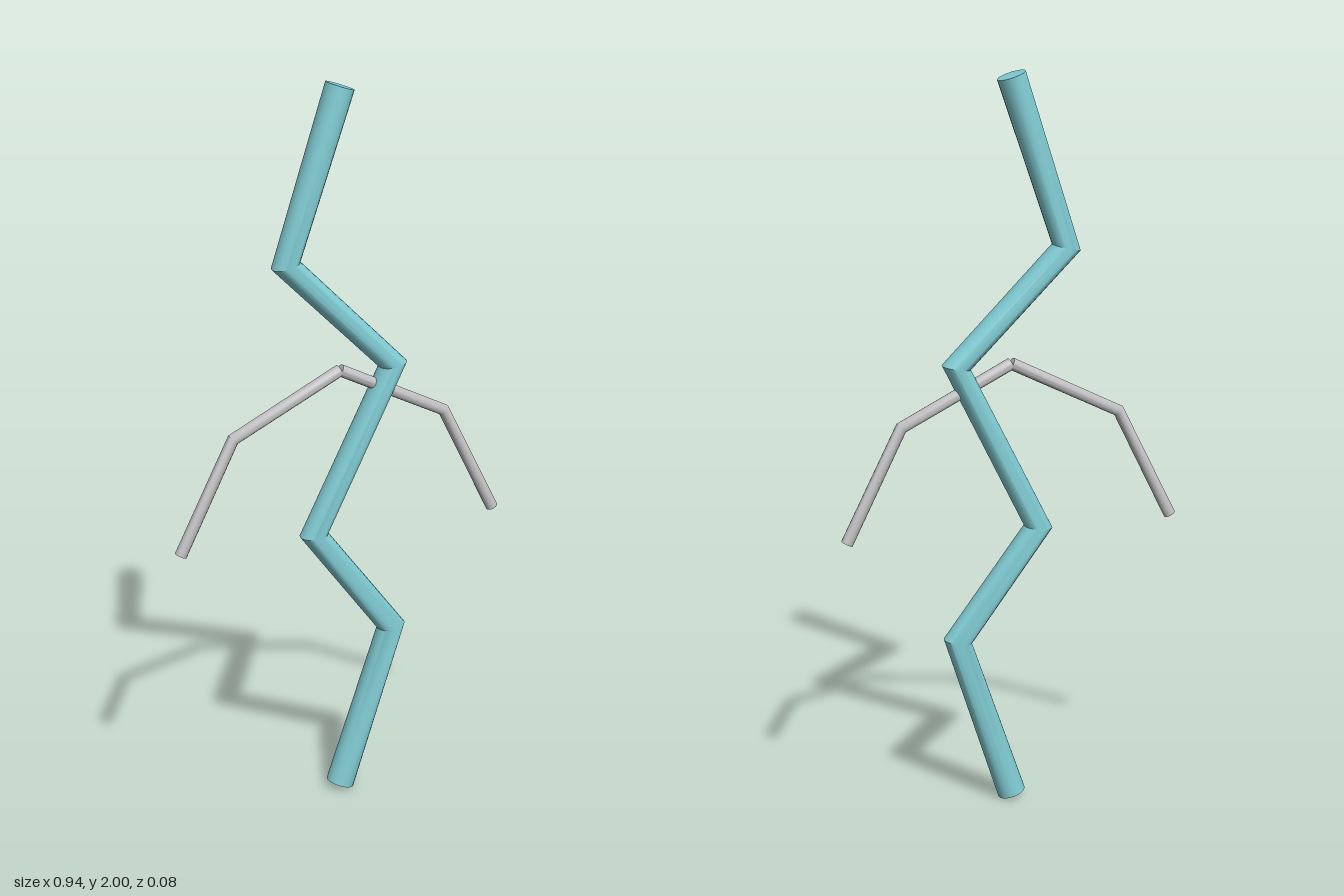
import * as THREE from 'three';
import { toCreasedNormals } from 'three/addons/utils/BufferGeometryUtils.js';

const SIDES = 16;

// Round rod along a bent path in the XY plane, with a ring on the bisector of each bend and flat end caps
function bentRod(path, radius) {
  const pts = path.map(([x, y]) => new THREE.Vector2(x, y));
  const n = pts.length;
  const dirs = pts.slice(1).map((p, i) => p.clone().sub(pts[i]).normalize());
  const pos = [], index = [];

  pts.forEach((p, i) => {
    const t = dirs[Math.max(i - 1, 0)].clone().add(dirs[Math.min(i, n - 2)]).normalize();
    for (let j = 0; j < SIDES; j++) {
      const a = (j / SIDES) * Math.PI * 2;
      const c = Math.cos(a) * radius;
      pos.push(p.x + t.y * c, p.y - t.x * c, Math.sin(a) * radius);
    }
  });
  const first = n * SIDES, last = first + 1;
  pos.push(pts[0].x, pts[0].y, 0, pts[n - 1].x, pts[n - 1].y, 0);

  for (let j = 0; j < SIDES; j++) {
    const k = (j + 1) % SIDES;
    for (let i = 0; i < n - 1; i++) {
      const a = i * SIDES + j, b = i * SIDES + k;
      index.push(a, a + SIDES, b, b, a + SIDES, b + SIDES);
    }
    const top = (n - 1) * SIDES;
    index.push(first, j, k, last, top + k, top + j);
  }

  const geo = new THREE.BufferGeometry();
  geo.setAttribute('position', new THREE.Float32BufferAttribute(pos, 3));
  geo.setIndex(index);
  return toCreasedNormals(geo, 0.6);
}

export function createModel() {
  const group = new THREE.Group();
  const teal = new THREE.MeshStandardMaterial({ name: 'teal', color: 0x82ced6 });
  const grey = new THREE.MeshStandardMaterial({ name: 'lightGrey', color: 0xc2c2c5 });
  const U = 0.152, BASE = 0.0122;
  const scaled = (list) => list.map(([x, y]) => [x * U, y * U + BASE]);

  const add = (name, path, radius, material) => {
    const mesh = new THREE.Mesh(bentRod(scaled(path), radius), material);
    mesh.name = name;
    group.add(mesh);
  };

  // Zigzag upright
  // The radii stay constant at every bend ring
  add('zigzagBody', [[0, 0], [1, 3], [-0.5, 5], [1, 8], [-1, 10], [0, 13]], 0.039, teal);

  // Drooping arms that meet at the centre
  for (const [name, s] of [['leftArm', 1], ['rightArm', -1]]) {
    add(name, [[0, 8], [2 * s, 7], [3 * s, 5]], 0.0165, grey);
  }
  return group;
}
